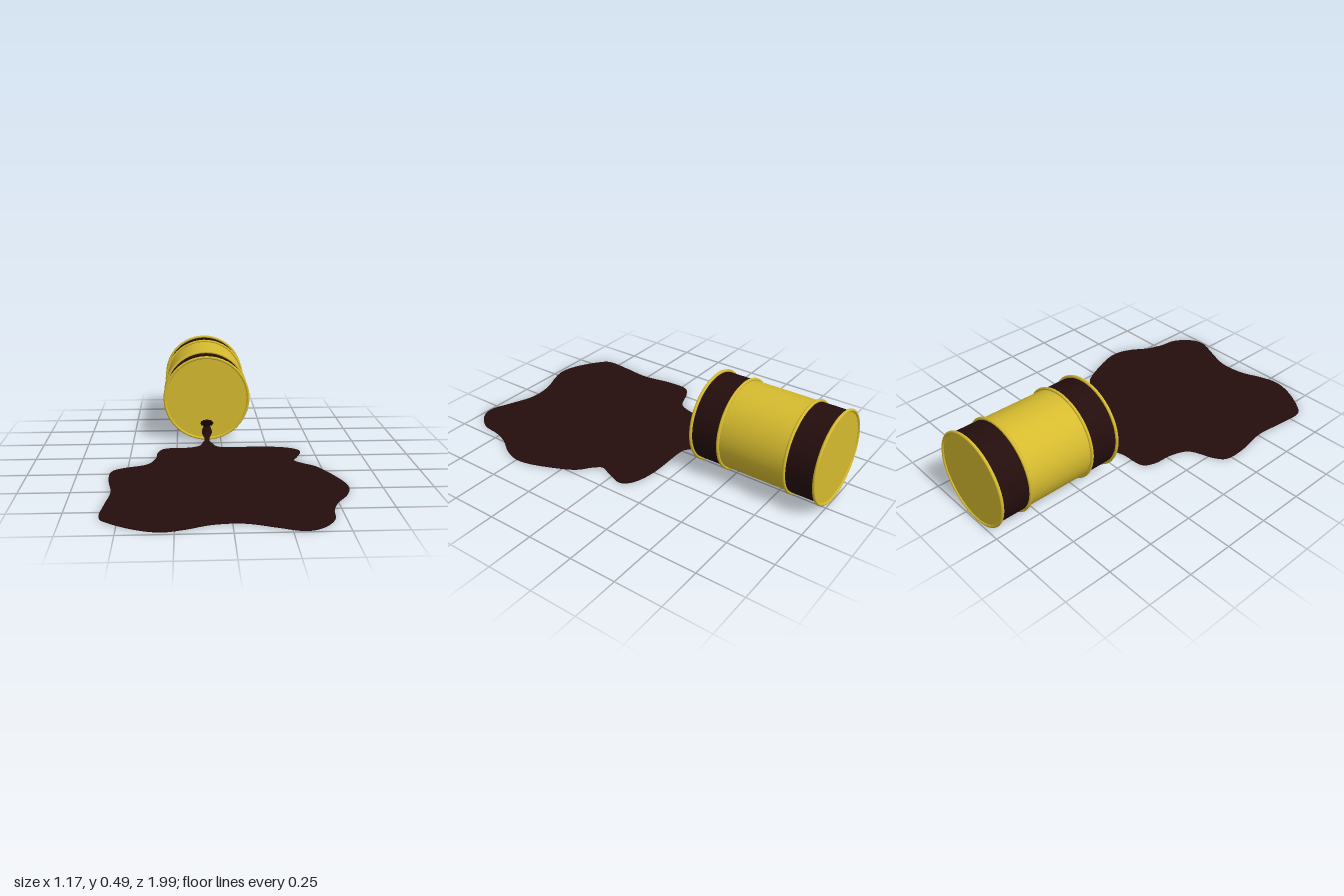
import * as THREE from 'three';

const yellow = new THREE.MeshStandardMaterial({ color: 0xd6bb2f });
yellow.name = 'yellow paint';
const dark = new THREE.MeshStandardMaterial({ color: 0x240d0d, side: THREE.DoubleSide });
dark.name = 'dark oil';

const CX = -0.08, CY = 0.245, R = 0.232;
const BACK = -0.991, FRONT = -0.313, RING_BACK = -0.835, RING_FRONT = -0.472;

function add(parent, name, geometry, material, x = 0, y = 0, z = 0) {
  const mesh = new THREE.Mesh(geometry, material);
  mesh.name = name;
  mesh.position.set(x, y, z);
  parent.add(mesh);
  return mesh;
}

// Barrel lying on its side along z
function makeBarrel() {
  const barrel = new THREE.Group();
  barrel.name = 'barrel';
  barrel.position.set(CX, CY, 0);
  const sections = [
    ['backBand', BACK, RING_BACK, dark],
    ['middleWall', RING_BACK, RING_FRONT, yellow],
    ['frontBand', RING_FRONT, FRONT, dark],
  ];
  for (const [name, z0, z1, material] of sections) {
    const wall = new THREE.CylinderGeometry(R, R, z1 - z0, 48, 1, true).rotateX(Math.PI / 2);
    add(barrel, name, wall, material, 0, 0, (z0 + z1) / 2);
  }
  for (const z of [BACK, RING_BACK, RING_FRONT, FRONT]) {
    add(barrel, 'ring', new THREE.TorusGeometry(0.237, 0.008, 10, 48), yellow, 0, 0, z);
  }
  add(barrel, 'frontLid', new THREE.CircleGeometry(R, 48), yellow, 0, 0, FRONT + 0.001);
  add(barrel, 'backLid', new THREE.CircleGeometry(R, 48).rotateY(Math.PI), yellow, 0, 0, BACK - 0.001);
  return barrel;
}

// Flat pool with a wavy outline that narrows to a neck under the barrel
function makePool() {
  const outline = [
    [-0.066, -0.28], [-0.05, -0.225], [-0.03, -0.175], [0.03, -0.155], [0.24, -0.155],
    [0.37, -0.127], [0.425, -0.07], [0.4, 0.016], [0.373, 0.085], [0.405, 0.13],
    [0.48, 0.2], [0.558, 0.37], [0.585, 0.49], [0.558, 0.59], [0.495, 0.69],
    [0.463, 0.78], [0.447, 0.88], [0.384, 0.963], [0.3, 0.992], [0.188, 0.952],
    [0.08, 0.91], [0, 0.9], [-0.103, 0.915], [-0.21, 0.958], [-0.31, 0.979],
    [-0.42, 0.947], [-0.537, 0.873], [-0.583, 0.81], [-0.574, 0.67], [-0.558, 0.513],
    [-0.583, 0.344], [-0.58, 0.228], [-0.526, 0.175], [-0.405, 0.122], [-0.362, 0.026],
    [-0.352, -0.08], [-0.31, -0.143], [-0.193, -0.153], [-0.13, -0.18], [-0.11, -0.225],
    [-0.094, -0.28],
  ].map(([x, z]) => new THREE.Vector2(x, -z));
  const shape = new THREE.Shape();
  shape.moveTo(outline[0].x, outline[0].y);
  shape.splineThru([...outline.slice(1), outline[0]]);
  return new THREE.ExtrudeGeometry(shape, { depth: 0.004, bevelEnabled: false, curveSegments: 200 })
    .rotateX(-Math.PI / 2);
}

// Bent ribbon of liquid: rows of [y, z, half width]
function makeStream() {
  const rows = [
    [0.09, -0.309, 0.012], [0.075, -0.308, 0.022], [0.05, -0.304, 0.029], [0.032, -0.296, 0.024],
    [0.016, -0.286, 0.014], [0.003, -0.275, 0.014],
  ];
  const curve = new THREE.CatmullRomCurve3(rows.map(([y, z, w]) => new THREE.Vector3(w, y, z)));
  const steps = 20;
  const geometry = new THREE.PlaneGeometry(2, 1, 6, steps);
  const p = geometry.attributes.position;
  for (let i = 0; i < p.count; i++) {
    const side = p.getX(i);
    const c = curve.getPoint(Math.floor(i / 7) / steps);
    // The middle of the ribbon swells slightly forward
    p.setXYZ(i, CX + side * c.x, c.y, c.z + 0.006 * (1 - side * side));
  }
  geometry.computeVertexNormals();
  return geometry;
}

// Torn flap with a scalloped rim, tilted out over the leak
function makeFlap() {
  const flap = new THREE.Group();
  flap.name = 'tornFlap';
  const rim = [];
  for (let i = 0; i < 72; i++) {
    const a = (i / 72) * Math.PI * 2;
    const r = 0.0355 + 0.0015 * Math.cos(a * 12);
    rim.push(new THREE.Vector2(r * Math.cos(a), r * Math.sin(a)));
  }
  const disc = new THREE.ExtrudeGeometry(new THREE.Shape(rim), { depth: 0.006, bevelEnabled: false });
  add(flap, 'flapDisc', disc, dark);
  add(flap, 'flapSpot', new THREE.CircleGeometry(0.008, 16), yellow, 0, 0, 0.007);
  flap.position.set(CX, 0.108, -0.273);
  flap.rotation.x = -Math.PI * 0.75;
  return flap;
}

export function createModel() {
  const model = new THREE.Group();
  model.name = 'leakingBarrel';
  model.add(makeBarrel());
  add(model, 'oilPool', makePool(), dark);
  add(model, 'oilStream', makeStream(), dark);
  model.add(makeFlap());
  return model;
}
